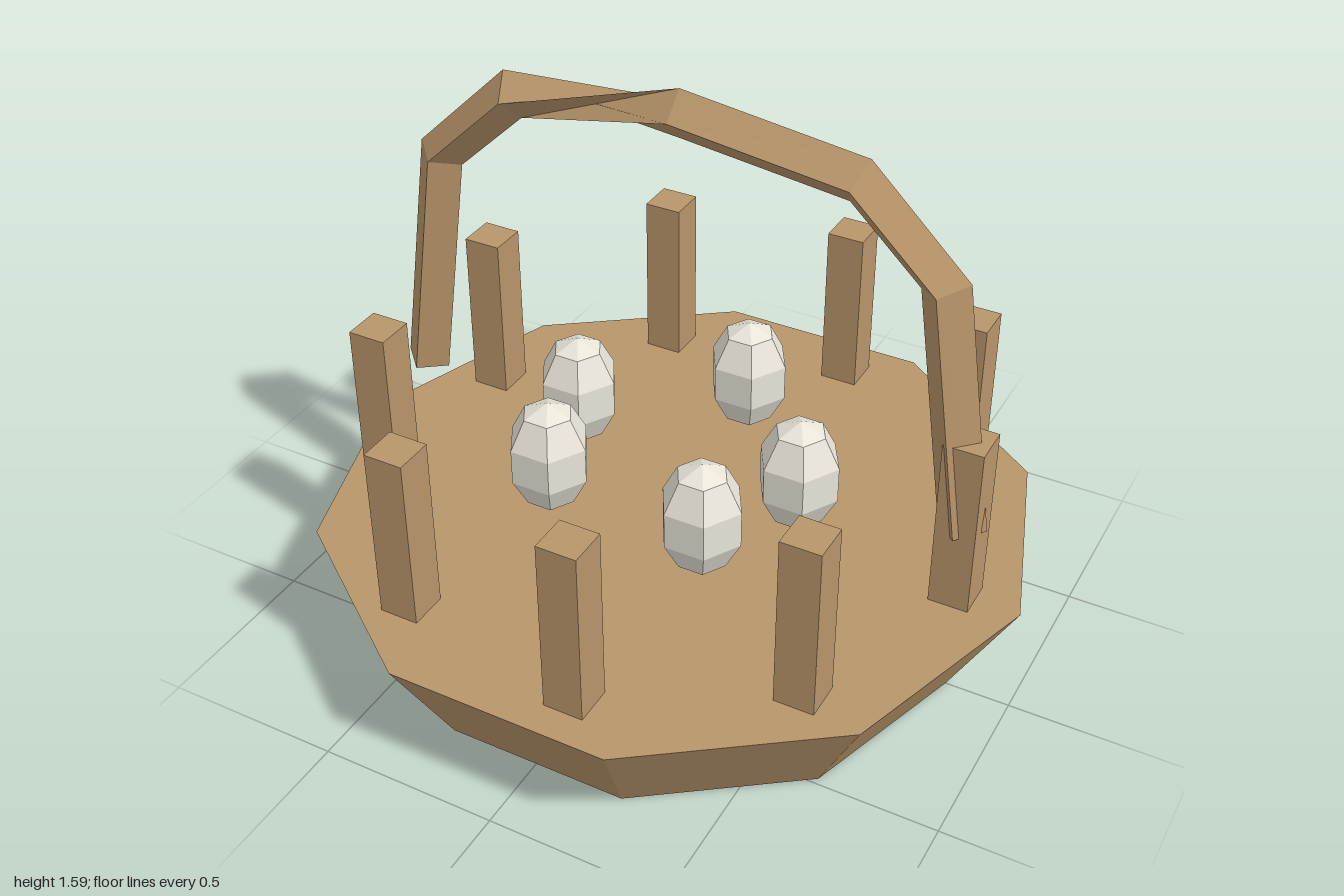
import * as THREE from 'three';

const wood = new THREE.MeshStandardMaterial({ color: 0xb8956a, flatShading: true });
const shell = new THREE.MeshStandardMaterial({ color: 0xe8e4d8, flatShading: true });

function addMesh(parent, name, geometry, material, x = 0, y = 0, z = 0) {
  const mesh = new THREE.Mesh(geometry, material);
  mesh.name = name;
  mesh.position.set(x, y, z);
  parent.add(mesh);
  return mesh;
}

// Diamond-section arch with a quarter twist just left of the crown
function handleGeometry() {
  const half = [[0.82, 0.545], [0.72, 1.235], [0.485, 1.46]];
  const path = [...half, [0, 1.52], ...half.map(([x, y]) => [-x, y]).reverse()]
    .map(([x, y]) => new THREE.Vector3(x, y, 0));
  const radius = 0.067;
  const last = path.length - 1;

  const rings = path.map((p, i) => {
    const t = path[Math.min(i + 1, last)].clone().sub(path[Math.max(i - 1, 0)]).normalize();
    const normal = new THREE.Vector3(t.y, -t.x, 0);
    const twist = i > 3 ? Math.PI / 2 : 0;
    return [0, 1, 2, 3].map((j) => {
      const a = j * Math.PI / 2 + twist;
      const v = p.clone().addScaledVector(normal, radius * Math.cos(a));
      v.z += radius * Math.sin(a);
      return v;
    });
  });

  const corners = [];
  for (let i = 0; i < last; i++) {
    const a = rings[i], b = rings[i + 1];
    for (let j = 0; j < 4; j++) {
      const k = (j + 1) % 4;
      corners.push(a[j], b[j], b[k], a[j], b[k], a[k]);
    }
  }
  // End caps
  const s = rings[0], e = rings[last];
  corners.push(s[0], s[1], s[2], s[0], s[2], s[3]);
  corners.push(e[0], e[2], e[1], e[0], e[3], e[2]);

  const geometry = new THREE.BufferGeometry().setFromPoints(corners);
  geometry.computeVertexNormals();
  return geometry;
}

export function createModel() {
  const model = new THREE.Group();
  model.name = 'eggBasket';

  // Ten-sided flared base, with corners on the x axis
  const base = new THREE.CylinderGeometry(1, 0.82, 0.32, 10);
  base.rotateY(Math.PI / 2);
  addMesh(model, 'base', base, wood, 0, 0.16, 0);

  // Ring of nine upright posts
  const posts = new THREE.Group();
  posts.name = 'posts';
  model.add(posts);
  const postGeometry = new THREE.BoxGeometry(0.11, 0.5, 0.11);
  for (let i = 0; i < 9; i++) {
    const a = i / 9 * Math.PI * 2;
    addMesh(posts, 'post', postGeometry, wood, 0.82 * Math.cos(a), 0.57, 0.82 * Math.sin(a));
  }

  addMesh(model, 'handle', handleGeometry(), wood);

  // Five eggs spaced by the golden angle
  const eggs = new THREE.Group();
  eggs.name = 'eggs';
  model.add(eggs);
  const eggGeometry = new THREE.SphereGeometry(0.12, 6, 5);
  eggGeometry.scale(1, 1.4, 1);
  for (let i = 0; i < 5; i++) {
    const a = THREE.MathUtils.degToRad(i * 137.5);
    addMesh(eggs, 'egg', eggGeometry, shell, 0.36 * Math.cos(a), 0.55, 0.36 * Math.sin(a));
  }

  return model;
}
